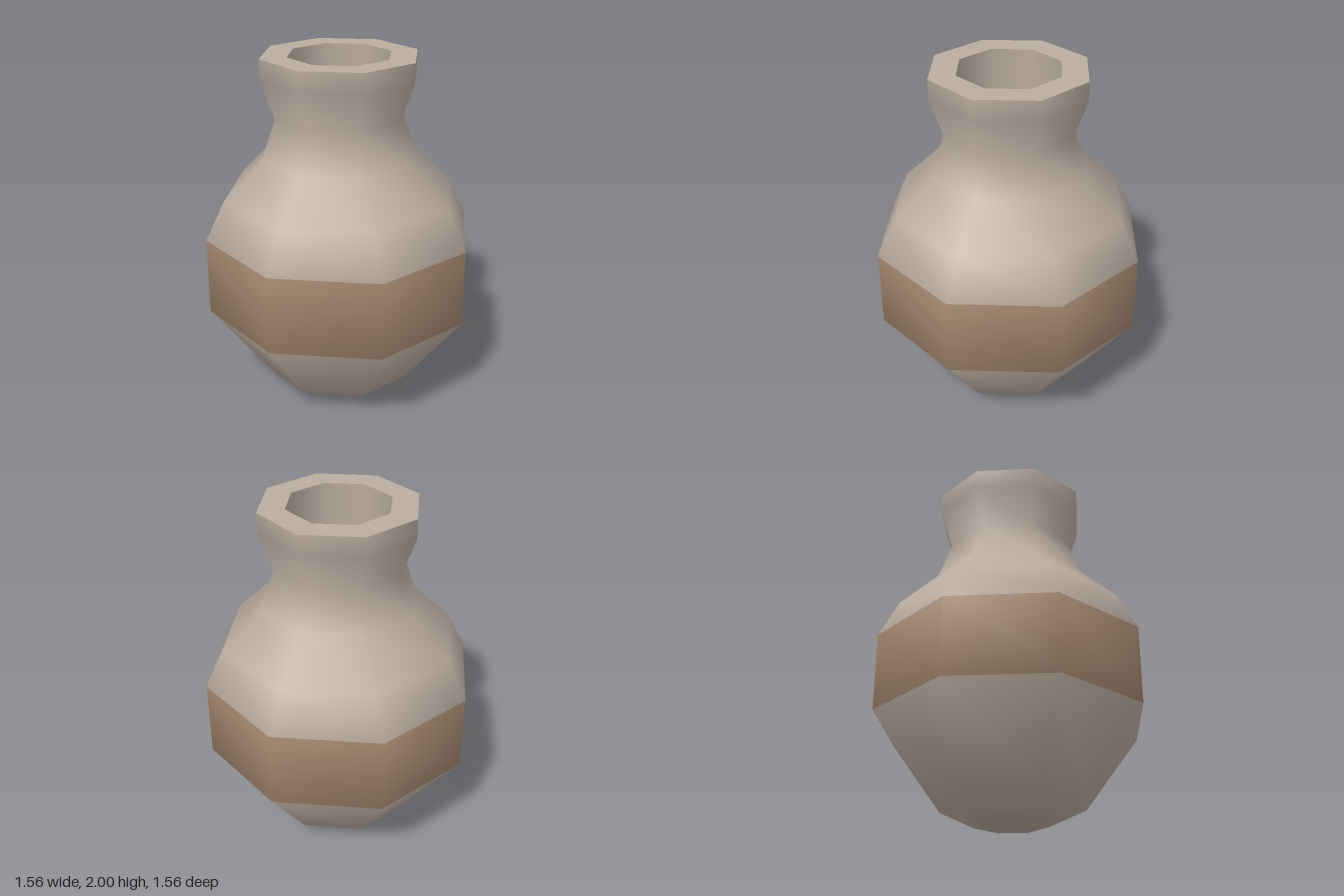
import * as THREE from 'three';

const SIDES = 8;

export function createModel() {
  const group = new THREE.Group();
  group.name = 'vase';

  const clay = new THREE.MeshStandardMaterial({ color: 0xbaaca0 });
  clay.name = 'pale clay';
  const glaze = new THREE.MeshStandardMaterial({ color: 0xa5886f });
  glaze.name = 'brown band';

  // Turn a [radius, height] profile into an eight-sided surface
  const turn = (name, profile, material) => {
    const points = profile.map(([r, y]) => new THREE.Vector2(r, y));
    const mesh = new THREE.Mesh(new THREE.LatheGeometry(points, SIDES), material);
    mesh.name = name;
    group.add(mesh);
    return mesh;
  };

  // Outer wall, smooth from foot to lip
  const wall = [
    [0.222, 0], [0.444, 0.111], [0.778, 0.556], [0.778, 1.0], [0.667, 1.222],
    [0.444, 1.444], [0.367, 1.667], [0.444, 1.889], [0.444, 2.0],
  ];
  const body = turn('body', wall, [clay, glaze]);

  // Paint the upright belly ring brown; other rings stay clay
  const BAND = 2, rings = wall.length - 1;
  for (let side = 0; side < SIDES; side++) {
    for (let ring = 0; ring < rings; ring++) {
      body.geometry.addGroup((side * rings + ring) * 6, 6, ring === BAND ? 1 : 0);
    }
  }

  // Flat foot, flat lip, and the hollow of the neck
  turn('foot', [[0, 0], [0.222, 0]], clay);
  turn('lip', [[0.444, 2.0], [0.293, 2.0]], clay);
  turn('neckInside', [[0.293, 2.0], [0.293, 1.333]], clay);
  turn('insideFloor', [[0.293, 1.333], [0, 1.333]], clay);

  return group;
}
